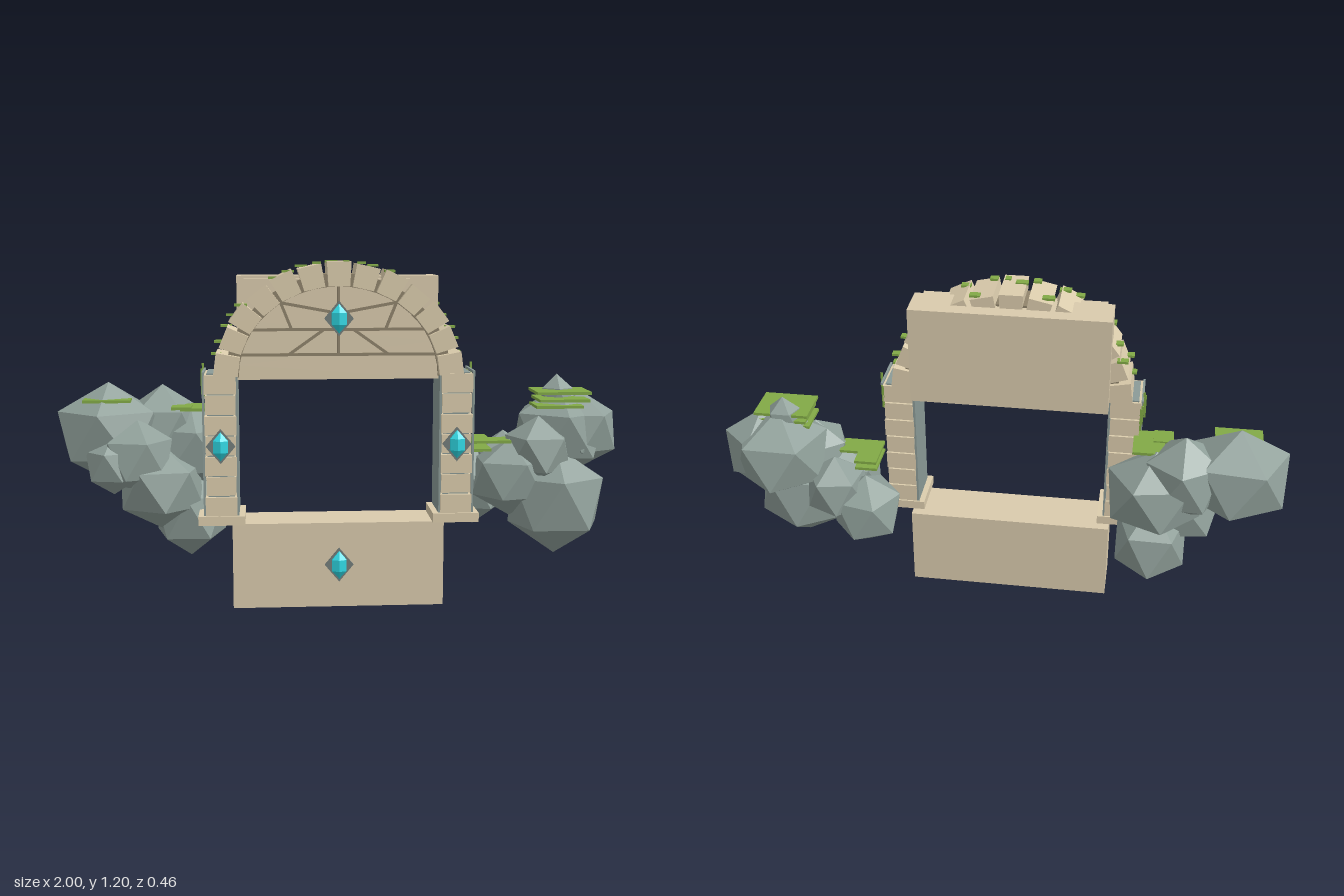
import * as THREE from 'three';

export function createModel() {
  const root = new THREE.Group();
  const mat = (name, color) => new THREE.MeshStandardMaterial({ name, color, flatShading: true });
  const stone = mat('sandstone', 0xdacbad);
  const block = mat('pale sandstone', 0xdccdad);
  const groove = mat('dark groove', 0x8f836b);
  const slate = mat('slate lining', 0x8b9b97);
  const rockMat = mat('grey rock', 0x91a19b);
  const moss = mat('moss', 0x82aa46);
  const setting = mat('gem setting', 0x737d7b);
  const gemMat = mat('turquoise gem', 0x2fd8e4);

  const CX = -0.0215; // middle of the gate
  const add = (name, geo, m, parent = root) => {
    const mesh = new THREE.Mesh(geo, m);
    mesh.name = name;
    parent.add(mesh);
    return mesh;
  };
  // Box given by its limits on each axis
  const box = (name, m, x0, x1, y0, y1, z0, z1, parent) => {
    const mesh = add(name, new THREE.BoxGeometry(x1 - x0, y1 - y0, z1 - z0), m, parent);
    mesh.position.set((x0 + x1) / 2, (y0 + y1) / 2, (z0 + z1) / 2);
    return mesh;
  };
  const extrude = (name, m, pts, z0, z1) => {
    const shape = new THREE.Shape(pts);
    const geo = new THREE.ExtrudeGeometry(shape, { depth: z1 - z0, bevelEnabled: false });
    geo.translate(0, 0, z0);
    return add(name, geo, m);
  };
  let seed = 11;
  const rand = () => (seed = (seed * 16807) % 2147483647) / 2147483647;

  // Threshold and lintel blocks
  box('threshold', stone, -0.39, 0.345, 0, 0.3, 0, 0.18);
  box('lintelBlock', stone, -0.367, 0.324, 0.8, 1.15, -0.02, 0.12);
  box('lintelStep', stone, -0.342, 0.299, 1.02, 1.14, 0.12, 0.16);

  // Arch of wedge stones
  const AY = 0.81;
  const onArch = (a, off) =>
    new THREE.Vector2(CX + Math.cos(a) * (0.385 + off), AY + Math.sin(a) * (0.35 + off));
  const COUNT = 13, step = Math.PI / COUNT;
  for (let i = 0; i < COUNT; i++) {
    const a = (i + 0.5) * step, h = step * 0.44;
    const out = i % 2 ? 0.036 : 0.041;
    extrude('archStone', block, [
      onArch(a - h, -0.042), onArch(a - h * 0.92, out), onArch(a + h * 0.92, out), onArch(a + h, -0.042),
    ], 0.035, i % 2 ? 0.197 : 0.202);
  }
  const arc = (off, n = 24) => Array.from({ length: n + 1 }, (_, i) => onArch(i * Math.PI / n, off));
  extrude('archMortar', groove, [...arc(0), ...arc(-0.045).reverse()], 0.05, 0.175);

  // Filled panel under the arch, with its joints
  extrude('archPanel', stone, [
    new THREE.Vector2(CX + 0.345, 0.8), ...arc(-0.04), new THREE.Vector2(CX - 0.345, 0.8),
  ], 0.11, 0.165);
  const joint = (x0, y0, x1, y1) => {
    const len = Math.hypot(x1 - x0, y1 - y0);
    const m = add('panelJoint', new THREE.BoxGeometry(len, 0.01, 0.006), groove);
    m.position.set(CX + (x0 + x1) / 2, (y0 + y1) / 2, 0.166);
    m.rotation.z = Math.atan2(y1 - y0, x1 - x0);
  };
  joint(-0.34, 0.885, 0.34, 0.885);
  joint(-0.31, 0.97, 0.31, 0.97);
  joint(0, 0.885, 0, 1.12);
  for (const s of [-1, 1]) {
    joint(s * 0.03, 1.03, s * 0.22, 1.065);
    joint(s * 0.05, 0.97, s * 0.17, 0.885);
    joint(s * 0.16, 0.97, s * 0.2, 1.07);
  }

  // Pillars
  for (const s of [-1, 1]) {
    const pillar = new THREE.Group();
    pillar.name = s > 0 ? 'leftPillar' : 'rightPillar';
    pillar.position.x = CX + s * 0.404;
    root.add(pillar);
    box('pillarFoot', block, -0.08, 0.08, 0.303, 0.335, 0.03, 0.21, pillar);
    box('pillarCore', slate, -0.045, 0.045, 0.335, 0.825, 0.045, 0.19, pillar);
    const inner = -s * 0.056, outer = s * 0.057;
    box('innerLining', slate, inner - 0.004, inner + 0.004, 0.335, 0.83, 0.036, 0.195, pillar);
    box('outerEdge', slate, outer - 0.004, outer + 0.004, 0.335, 0.83, 0.188, 0.198, pillar);
    box('outerCap', slate, outer - 0.004, outer + 0.004, 0.822, 0.83, 0.036, 0.195, pillar);
    for (let i = 0; i < 7; i++) {
      const y = 0.335 + i * 0.07, w = i % 2 ? 0.051 : 0.054;
      box('pillarStone', block, -w, w, y, y + 0.065, 0.036, i % 2 ? 0.197 : 0.203, pillar);
    }
    // Thin vines near the back of the pillar top
    for (let i = 0; i < 4; i++) {
      const y = 0.71 + rand() * 0.06, z = 0.036 + i * 0.014, x = s * (0.054 + i * 0.004);
      box('vine', moss, x - 0.004, x + 0.004, y, y + 0.07 + rand() * 0.04, z, z + 0.004, pillar);
    }
  }

  // Gems in diamond settings
  const gem = (x, y, z) => {
    const g = new THREE.Group();
    g.name = 'gem';
    g.position.set(x, y, z);
    root.add(g);
    const plate = add('gemSetting', new THREE.CylinderGeometry(1, 1, 0.009, 4), setting, g);
    plate.rotation.x = Math.PI / 2;
    plate.scale.set(0.05, 1, 0.06);
    // Six-sided jewel, pointed at both ends
    const profile = [[0, -1], [1, -0.4], [1, 0.4], [0, 1]].map(([r, h]) => new THREE.Vector2(r, h));
    const jewel = add('gemStone', new THREE.LatheGeometry(profile, 6), gemMat, g);
    jewel.scale.set(0.029, 0.05, 0.02);
    jewel.position.z = 0.006;
  };
  gem(CX, 1.008, 0.183);
  gem(CX, 0.152, 0.184);
  gem(CX - 0.404, 0.578, 0.206);
  gem(CX + 0.404, 0.578, 0.206);

  // Floating rocks: x, y, z, radii, spin
  const rocks = [
    [-0.825, 0.595, -0.02, 0.2, 0.18, 0.19, 0.2],
    [-0.64, 0.6, -0.07, 0.15, 0.16, 0.15, 0.9],
    [-0.545, 0.53, -0.07, 0.185, 0.165, 0.175, 0.5],
    [-0.545, 0.3, -0.03, 0.145, 0.16, 0.17, 0.3],
    [-0.64, 0.41, 0.05, 0.165, 0.15, 0.16, 1.1],
    [-0.8, 0.5, 0.1, 0.105, 0.105, 0.1, 0.1],
    [-0.72, 0.52, 0.075, 0.135, 0.14, 0.135, 0.7],
    [0.8, 0.575, -0.055, 0.185, 0.17, 0.19, 0.3],
    [0.785, 0.7, -0.04, 0.065, 0.09, 0.06, 0.3],
    [0.87, 0.585, -0.04, 0.15, 0.145, 0.15, 0.8],
    [0.765, 0.345, 0.06, 0.19, 0.195, 0.165, 0.3],
    [0.7, 0.52, 0.05, 0.13, 0.13, 0.13, 1.0],
    [0.6, 0.43, 0.05, 0.15, 0.14, 0.14, 0.6],
    [0.49, 0.37, -0.08, 0.135, 0.14, 0.14, 0.1],
    [0.6, 0.45, -0.08, 0.12, 0.13, 0.12, 0.5],
  ];
  for (const [x, y, z, rx, ry, rz, spin] of rocks) {
    const geo = new THREE.IcosahedronGeometry(1, 0);
    geo.rotateZ(0.5536).rotateY(spin).scale(rx, ry, rz);
    add('rock', geo, rockMat).position.set(x, y, z);
  }

  // Moss sheets on the rocks: x range, y, z range
  const sheets = [
    [-0.905, -0.74, 0.717, 0.0, 0.08],
    [-0.57, -0.46, 0.685, -0.075, 0.075],
    [-0.6, -0.53, 0.69, 0.0, 0.075],
    [0.69, 0.885, 0.732, -0.075, 0.075],
    [0.7, 0.88, 0.705, -0.07, 0.075],
    [0.69, 0.86, 0.682, -0.06, 0.07],
    [0.45, 0.53, 0.56, -0.075, 0.075],
    [0.53, 0.6, 0.56, -0.01, 0.075],
    [0.45, 0.53, 0.53, -0.07, 0.07],
  ];
  for (const [x0, x1, y, z0, z1] of sheets) box('mossSheet', moss, x0, x1, y - 0.005, y + 0.005, z0, z1);

  // Moss tufts scattered over the arch
  for (let i = 0; i < 24; i++) {
    const p = onArch(0.2 + (i / 23) * 2.74, 0.04), z = 0.045 + rand() * 0.14, w = 0.01 + rand() * 0.014;
    box('mossTuft', moss, p.x - w, p.x + w, p.y - 0.004, p.y + 0.004, z - 0.014, z + 0.014);
  }
  return root;
}
